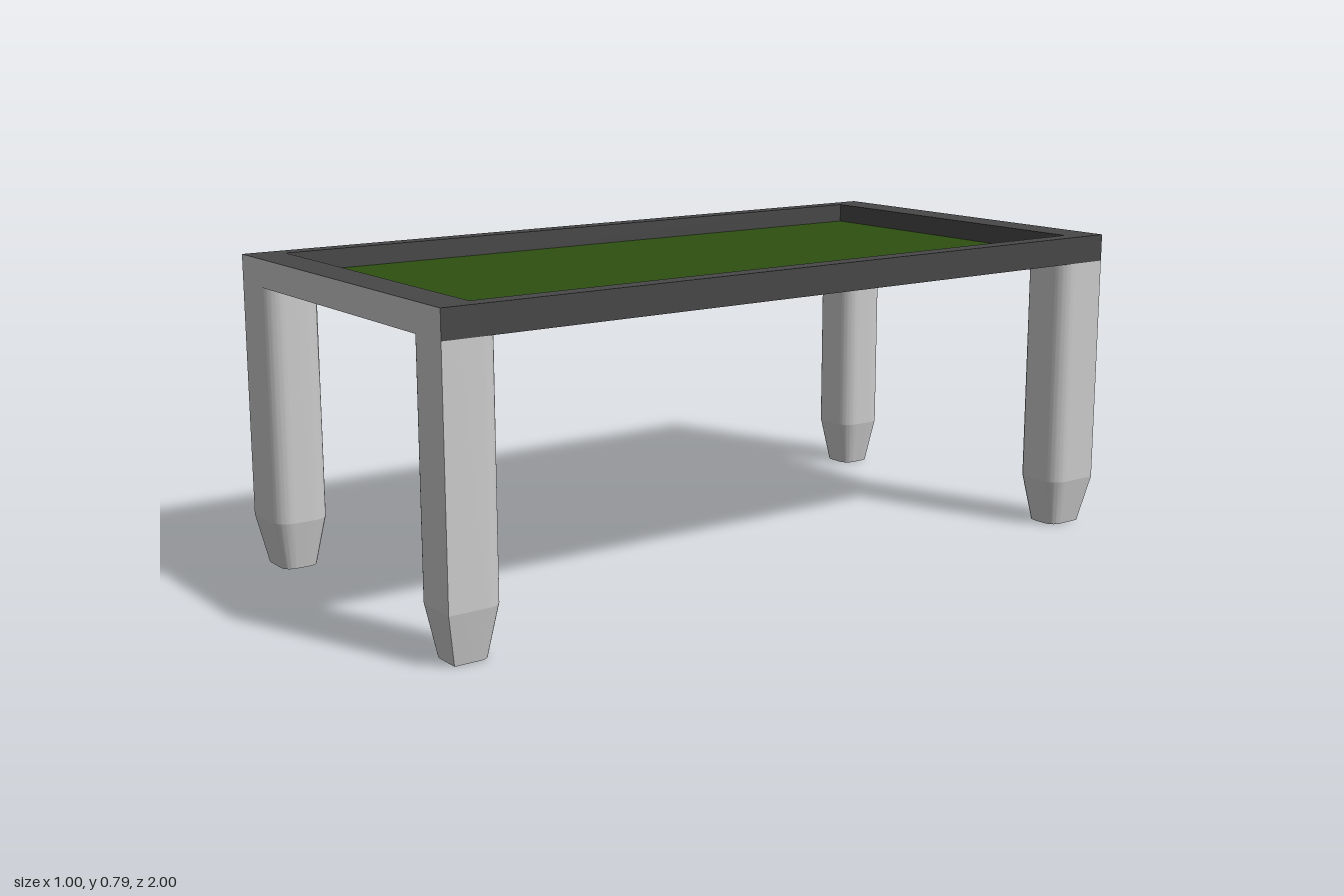
import * as THREE from 'three';
import { toCreasedNormals } from 'three/addons/utils/BufferGeometryUtils.js';

const HALF = 0.072;    // half width of a leg
const FOOT = 0.125;    // height of the tapered foot
const UNDER = 0.72;    // underside of the table top
const TOP = 0.79;      // upper edge of the rim

// Square section: one sharp outer corner (+x, +z), three rounded corners
function legShape() {
  const h = HALF, r = 0.045;
  const s = new THREE.Shape();
  s.moveTo(h, -h);
  s.lineTo(h, h - r);
  s.absarc(h - r, h - r, r, 0, Math.PI / 2);
  s.absarc(-h + r, h - r, r, Math.PI / 2, Math.PI);
  s.absarc(-h + r, -h + r, r, Math.PI, Math.PI * 1.5);
  s.closePath();
  return s;
}

// Upright prism whose bottom ring can be shrunk towards the axis
function prism(height, bottomScale) {
  const g = new THREE.ExtrudeGeometry(legShape(), { depth: height, bevelEnabled: false, curveSegments: 8 });
  g.rotateX(-Math.PI / 2);
  const p = g.attributes.position;
  for (let i = 0; i < p.count; i++) {
    if (p.getY(i) < 0.001) p.setXYZ(i, p.getX(i) * bottomScale, 0, p.getZ(i) * bottomScale);
  }
  return toCreasedNormals(g, 0.5);
}

export function createModel() {
  const lightGrey = new THREE.MeshStandardMaterial({ color: 0xcccccc });
  lightGrey.name = 'lightGrey';
  const darkGrey = new THREE.MeshStandardMaterial({ color: 0x474747 });
  darkGrey.name = 'darkGrey';
  const feltGreen = new THREE.MeshStandardMaterial({ color: 0x2e5010 });
  feltGreen.name = 'feltGreen';

  const model = new THREE.Group();
  model.name = 'table';

  function box(name, [w, h, d], [x, y, z], material) {
    const mesh = new THREE.Mesh(new THREE.BoxGeometry(w, h, d), material);
    mesh.name = name;
    mesh.position.set(x, y, z);
    model.add(mesh);
  }

  // Rim: dark, with light outer faces on the front, back and -x sides
  const L = lightGrey, D = darkGrey;
  const rimH = TOP - UNDER, rimY = (TOP + UNDER) / 2;
  const inX = 0.453, inZ = 0.905;
  const endD = 1 - inZ, sideW = 0.5 - inX;
  box('frontRail', [1, rimH, endD], [0, rimY, 1 - endD / 2], [D, L, D, D, L, D]);
  box('backRail', [1, rimH, endD], [0, rimY, -1 + endD / 2], [D, L, D, D, D, L]);
  box('leftRail', [sideW, rimH, inZ * 2], [0.5 - sideW / 2, rimY, 0], D);
  box('rightRail', [sideW, rimH, inZ * 2], [-0.5 + sideW / 2, rimY, 0], [D, L, D, D, D, D]);

  // Sunken bed with its playing surface
  box('bed', [inX * 2, 0.014, inZ * 2], [0, UNDER + 0.007, 0], D);
  box('felt', [inX * 2, 0.006, inZ * 2], [0, UNDER + 0.017, 0], feltGreen);

  // Four legs, each turned so its sharp corner points outwards
  const shaft = prism(UNDER - FOOT, 1);
  const foot = prism(FOOT, 0.66);
  const corners = [[1, 1], [1, -1], [-1, -1], [-1, 1]];
  corners.forEach(([sx, sz], i) => {
    const leg = new THREE.Group();
    leg.name = (sz > 0 ? 'front' : 'back') + (sx > 0 ? 'Left' : 'Right') + 'Leg';
    const upper = new THREE.Mesh(shaft, lightGrey);
    upper.name = 'legShaft';
    upper.position.y = FOOT;
    const lower = new THREE.Mesh(foot, lightGrey);
    lower.name = 'legFoot';
    leg.add(upper, lower);
    leg.position.set(sx * (0.5 - HALF), 0, sz * (1 - HALF));
    leg.rotation.y = i * Math.PI / 2;
    model.add(leg);
  });

  return model;
}
